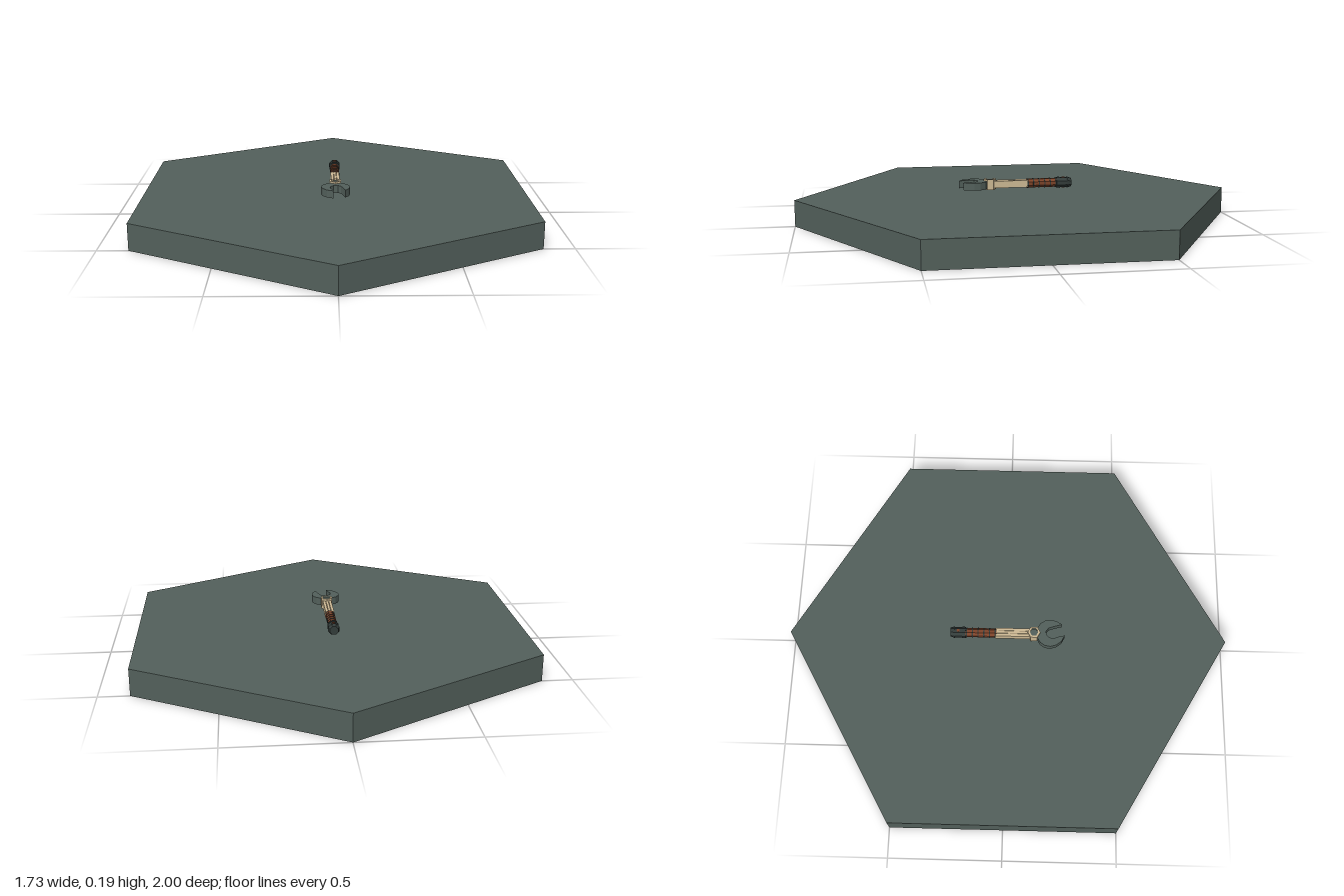
import * as THREE from 'three';

const mat = (name, color) => new THREE.MeshStandardMaterial({ name, color, flatShading: true });

export function createModel() {
  const slate = mat('slate', 0x53605b);
  const dark = mat('dark iron', 0x333c3a);
  const cream = mat('cream', 0xcdb994);
  const rust = mat('rust leather', 0x7d4329);
  const tan = mat('shadowed tan', 0x8c7a5e);

  const model = new THREE.Group();
  const wrench = new THREE.Group();
  wrench.name = 'wrench';
  wrench.position.y = 0.168;
  model.add(wrench);

  const add = (parent, name, geometry, material, x = 0, y = 0, z = 0) => {
    const mesh = new THREE.Mesh(geometry, material);
    mesh.name = name;
    mesh.position.set(x, y, z);
    parent.add(mesh);
    return mesh;
  };
  // faceted rod lying along z, between z0 (back) and z1 (front)
  const rod = (name, rBack, rFront, z0, z1, material, sides = 8) => {
    const g = new THREE.CylinderGeometry(rFront, rBack, z1 - z0, sides);
    g.rotateY(Math.PI / sides).rotateX(Math.PI / 2);
    return add(wrench, name, g, material, 0, 0, (z0 + z1) / 2);
  };
  // plan outline in (x, z), extruded upward and centred on y = 0
  const slab = (shape, height) => new THREE.ExtrudeGeometry(shape, { depth: height, bevelEnabled: false })
    .rotateX(-Math.PI / 2).translate(0, -height / 2, 0);

  // Hexagonal base tile
  add(model, 'base', new THREE.CylinderGeometry(1, 1, 0.12, 6), slate, 0, 0.06, 0);

  // Open jaw, its mouth turned slightly to one side
  const jaw = [
    [-0.022, 0.135], [-0.045, 0.148], [-0.06, 0.17], [-0.064, 0.195], [-0.056, 0.222], [-0.038, 0.245],
    [-0.010, 0.26], [-0.015, 0.236], [-0.024, 0.212], [-0.022, 0.19], [-0.008, 0.176], [0.01, 0.175],
    [0.025, 0.188], [0.034, 0.215], [0.043, 0.247], [0.057, 0.225], [0.064, 0.198], [0.06, 0.17],
    [0.045, 0.148], [0.022, 0.135],
  ].map(([x, z]) => new THREE.Vector2(x, -z));
  add(wrench, 'jaw', slab(new THREE.Shape(jaw), 0.034), slate);

  // Hexagonal collar ring with a bolt through it
  const hex = (r) => Array.from({ length: 6 }, (_, i) =>
    new THREE.Vector2(Math.sin(i * Math.PI / 3) * r, Math.cos(i * Math.PI / 3) * r));
  const ring = new THREE.Shape(hex(0.029));
  ring.holes.push(new THREE.Path(hex(0.019)));
  add(wrench, 'collar', slab(ring, 0.048), cream, 0, 0.001, 0.12);
  add(wrench, 'collarBolt', new THREE.CylinderGeometry(0.019, 0.019, 0.042, 6), slate, 0, 0, 0.12);

  // Shaft with raised rails and a recessed web
  add(wrench, 'shaftWeb', new THREE.BoxGeometry(0.03, 0.026, 0.17), tan, 0, 0, 0.025);
  for (const s of [-1, 1]) {
    add(wrench, 'shaftRail', new THREE.BoxGeometry(0.012, 0.032, 0.16), cream, s * 0.0135, 0, 0.025);
    add(wrench, 'shaftRib', new THREE.BoxGeometry(0.011, 0.006, 0.16), cream, 0, s * 0.0135, 0.025);
  }

  // Wrapped grip with raised bands
  rod('grip', 0.021, 0.021, -0.2, 0.05 - 0.1, rust);
  for (let i = 0; i < 6; i++) {
    const z = -0.056 - i * 0.026;
    rod('gripBand', 0.0225, 0.0225, z - 0.0025, z + 0.0025, dark);
  }

  // End cap with flanges and a pin on each face
  rod('capFlange', 0.027, 0.025, -0.206, -0.19, dark);
  rod('capBody', 0.024, 0.024, -0.245, -0.206, dark);
  rod('capEnd', 0.02, 0.027, -0.26, -0.24, dark);
  add(wrench, 'capPin', new THREE.CylinderGeometry(0.007, 0.007, 0.05, 8), rust, 0, 0, -0.224);

  return model;
}
